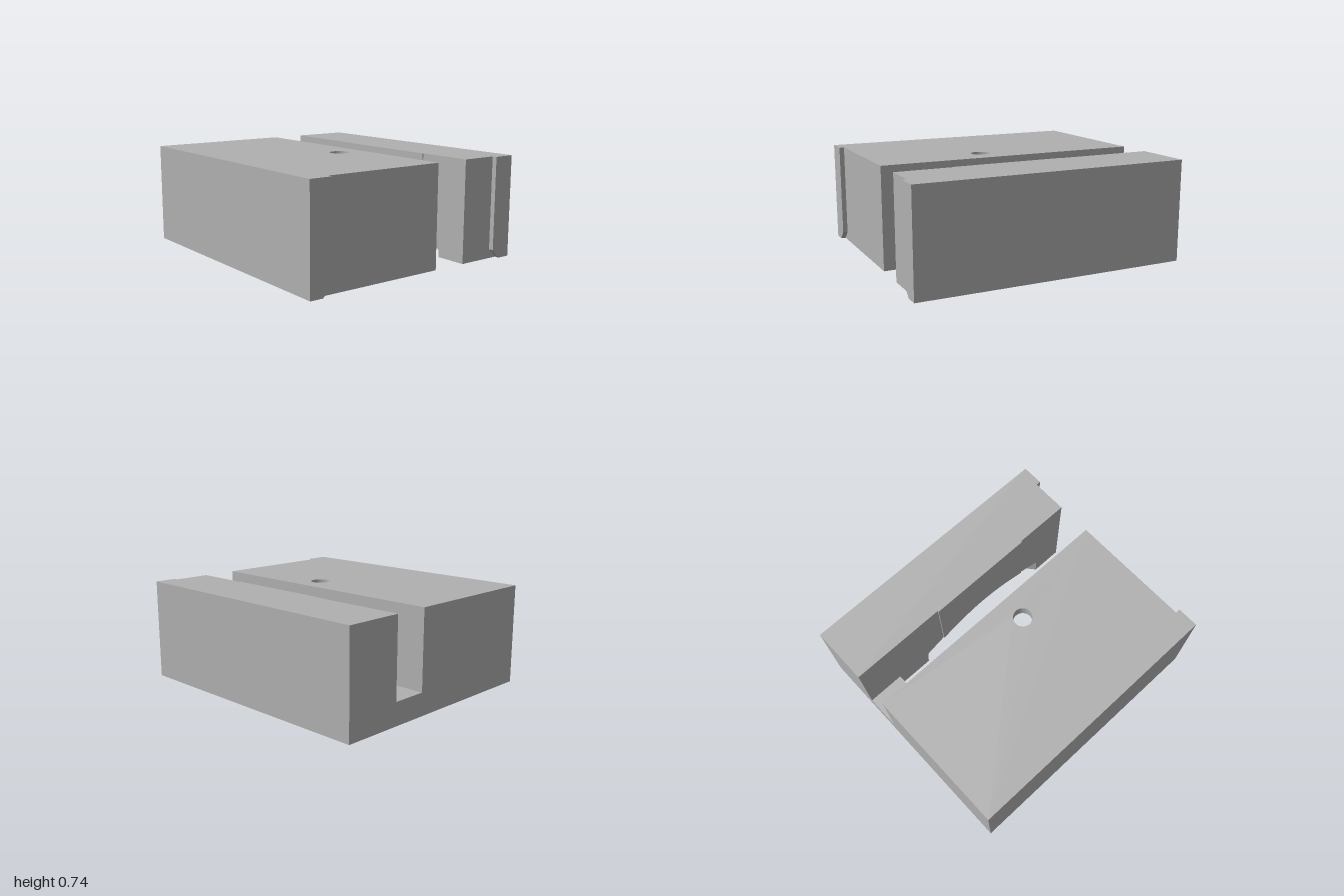
import * as THREE from 'three';

const H = 0.735, W = 0.88, FRONT = 0.965, BACK = -1;
const SL = 0.19, SR = 0.45;              // slot walls
const CZ = 0.14;                         // cavity axis
const R0 = 0.742, Y0 = 0.135, R1 = 0.4, Y1 = 0.317;
const coneY = r => Y0 + (R0 - r) / (R0 - R1) * (Y1 - Y0);
const coneR = y => R0 - (y - Y0) / (Y1 - Y0) * (R0 - R1);
// Radial channel leading off the cavity
const CH = { dir: 4.332, w: 0.105, len: 0.98, top: 0.3 };

export function createModel() {
  const group = new THREE.Group();
  const grey = new THREE.MeshStandardMaterial({ color: 0xb0b0b0, side: THREE.DoubleSide });
  grey.name = 'grey';

  const add = (name, geo, parent = group) => {
    const mesh = new THREE.Mesh(geo, grey);
    mesh.name = name;
    parent.add(mesh);
    return mesh;
  };
  const shapeOf = pts => new THREE.Shape(pts.map(p => new THREE.Vector2(p[0], p[1])));
  const rect = (a, b, c, d) => shapeOf([[a, c], [b, c], [b, d], [a, d]]);
  const hole = (s, x, z, r) => {
    s.holes.push(new THREE.Path().absarc(x, z, r, 0, Math.PI * 2, true));
    return s;
  };
  // Flat faces: level in (x, z), upright in (x, y), side in (z, y)
  const level = (name, shape, y, up, parent) => {
    const g = new THREE.ShapeGeometry(shape, 24).rotateX(Math.PI / 2);
    if (up) flip(g);
    g.translate(0, y, 0);
    return add(name, g, parent);
  };
  const upright = (name, shape, z, back) => {
    const g = new THREE.ShapeGeometry(shape);
    if (back) flip(g);
    return add(name, g.translate(0, 0, z));
  };
  const sideFace = (name, shape, x, plusX) => {
    const g = new THREE.ShapeGeometry(shape).rotateY(-Math.PI / 2);
    if (plusX) flip(g);
    return add(name, g.translate(x, 0, 0));
  };
  // Reverse a flat face
  function flip(g) {
    const ix = g.index.array;
    for (let i = 0; i < ix.length; i += 3) [ix[i], ix[i + 1]] = [ix[i + 1], ix[i]];
    g.computeVertexNormals();
  }

  // Surface of revolution between two rings, limited to an angle range per radius
  const sweep = (name, [ra, ya], [rb, yb], range, rows = 16, cols = 56) => {
    const pos = [], idx = [];
    for (let i = 0; i <= rows; i++) {
      const t = i / rows, r = ra + (rb - ra) * t, y = ya + (yb - ya) * t;
      const [a, b] = range(r);
      for (let j = 0; j <= cols; j++) {
        const q = a + (b - a) * j / cols;
        pos.push(r * Math.cos(q), y, CZ + r * Math.sin(q));
        if (i < rows && j < cols) {
          const k = i * (cols + 1) + j, n = k + cols + 1;
          idx.push(k, k + 1, n, k + 1, n + 1, n);
        }
      }
    }
    const g = new THREE.BufferGeometry();
    g.setAttribute('position', new THREE.Float32BufferAttribute(pos, 3));
    g.setIndex(idx);
    g.computeVertexNormals();
    add(name, g);
  };
  const cut = (r, x) => Math.acos(Math.min(1, x / r));
  const gap = r => Math.asin(CH.w / r);
  const leftRange = r => [cut(r, SL), 2 * Math.PI - cut(r, SL)];
  const beforeChannel = r => [cut(r, SL), CH.dir - gap(r)];
  const afterChannel = r => [CH.dir + gap(r), 2 * Math.PI - cut(r, SL)];
  const rightRange = r => [-cut(r, SR), cut(r, SR)];

  // Stepped cavity and bore
  const profile = [[R0, 0], [R0, Y0], [coneR(CH.top), CH.top], [R1, Y1],
    [R1, 0.45], [0.3, 0.45], [0.3, 0.645], [0.07, 0.645], [0.07, H]];
  for (let i = 0; i < profile.length - 1; i++) {
    const ranges = i < 2 ? [beforeChannel, afterChannel] : [leftRange];
    for (const range of ranges) sweep('cavityWall', profile[i], profile[i + 1], range);
  }
  sweep('cavityWallRight', [R0, 0], [R0, Y0], rightRange);
  sweep('cavityConeRight', [R0, Y0], [SR, coneY(SR)], rightRange);

  // Slot walls, notched where the cavity breaks through
  const slotWall = (x, rings) => {
    const half = [];
    for (let i = 0; i < rings.length - 1; i++) {
      const [ra, ya] = rings[i], [rb, yb] = rings[i + 1];
      const n = ra !== rb && ya !== yb ? 12 : 1;
      for (let k = 0; k < n; k++) half.push([ra + (rb - ra) * k / n, ya + (yb - ya) * k / n]);
    }
    half.push(rings[rings.length - 1]);
    const edge = half.map(([r, y]) => [Math.sqrt(Math.max(0, r * r - x * x)), y]);
    return shapeOf([[BACK, 0], ...edge.map(([h, y]) => [CZ - h, y]),
      ...edge.slice().reverse().filter(([h]) => h > 1e-4).map(([h, y]) => [CZ + h, y]),
      [FRONT, 0], [FRONT, H], [BACK, H]]);
  };
  sideFace('slotWallLeft', slotWall(SL, profile.slice(0, 7)), SL, true);
  sideFace('slotWallRight', slotWall(SR, [[R0, 0], [R0, Y0], [SR, coneY(SR)]]), SR, false);

  // Slightly raised pad on the slot wall, trimmed by the cone
  const padEdge = [];
  for (let i = 0; i <= 20; i++) {
    const t = -0.41 + 0.82 * i / 20;
    padEdge.push([CZ + t, coneY(Math.hypot(t, 0.44))]);
  }
  const pad = new THREE.ExtrudeGeometry(shapeOf([...padEdge, [CZ + 0.41, H], [CZ - 0.41, H]]),
    { depth: 0.009, bevelEnabled: false });
  add('slotPad', pad.rotateY(-Math.PI / 2).translate(SR, 0, 0));

  // Outer shell
  level('topLeft', hole(rect(-W, SL, BACK, FRONT), 0, CZ, 0.07), H, true);
  level('topRight', rect(SR, W, BACK, FRONT), H, true);
  for (const [a, b] of [[-W, SL], [SR, W]]) {
    upright('frontFace', rect(a, b, 0, H), FRONT, false);
    upright('backFace', rect(a, b, 0, H), BACK, true);
  }
  for (const s of [-1, 1]) {
    sideFace('outerSide', rect(BACK, FRONT, 0, H), s * W, s > 0);
    // Front corner rib with a chamfered foot
    const rib = shapeOf([[s * W, 0], [s * 0.785, 0], [s * 0.72, 0.065], [s * 0.72, H], [s * W, H]]);
    const g = new THREE.ExtrudeGeometry(rib, { depth: 1 - FRONT, bevelEnabled: false });
    add('cornerRib', g.translate(0, 0, FRONT));
  }
  const bridge = new THREE.BoxGeometry(SR - SL, 0.165, 0.28);
  add('slotBridge', bridge.translate((SL + SR) / 2, 0.0825, -0.86));

  // Underside with the cavity and channel outlines
  const arc = (r, a, b, cx = 0, cz = CZ, n = 40) => Array.from({ length: n + 1 }, (_, i) => {
    const q = a + (b - a) * i / n;
    return [cx + r * Math.cos(q), cz + r * Math.sin(q)];
  });
  const [a0, a1] = afterChannel(R0), [b0, b1] = beforeChannel(R0);
  const ex = CH.len * Math.cos(CH.dir), ez = CZ + CH.len * Math.sin(CH.dir);
  const under = shapeOf([[-W, BACK], [SL, BACK], ...arc(R0, a1, a0),
    ...arc(CH.w, CH.dir + Math.PI / 2, CH.dir - Math.PI / 2, ex, ez, 20),
    ...arc(R0, b1, b0), [SL, FRONT], [-W, FRONT]]);
  level('undersideLeft', hole(under, -0.01, -0.715, 0.05), 0, false);
  const [c0, c1] = rightRange(R0);
  level('undersideRight', shapeOf([[SR, BACK], [W, BACK], [W, FRONT], [SR, FRONT],
    ...arc(R0, c1, c0)]), 0, false);

  // Small blind hole
  add('blindHole', new THREE.CylinderGeometry(0.05, 0.05, 0.1, 24, 1, true).translate(-0.01, 0.05, -0.715));
  add('blindHoleEnd', new THREE.CircleGeometry(0.05, 24).rotateX(Math.PI / 2).translate(-0.01, 0.1, -0.715));

  // Channel walls, round end and ceiling
  const channel = new THREE.Group();
  channel.name = 'channel';
  channel.position.z = CZ;
  channel.rotation.y = -CH.dir;
  group.add(channel);
  const along = r => Math.sqrt(r * r - CH.w * CH.w), rTop = coneR(CH.top);
  for (const s of [-1, 1]) {
    const side = shapeOf([[along(R0), 0], [CH.len, 0], [CH.len, CH.top], [along(rTop), CH.top], [along(R0), Y0]]);
    add('channelSide', new THREE.ShapeGeometry(side).translate(0, 0, s * CH.w), channel);
  }
  add('channelEnd', new THREE.CylinderGeometry(CH.w, CH.w, CH.top, 24, 1, true, 0, Math.PI)
    .translate(CH.len, CH.top / 2, 0), channel);
  level('channelCeiling', shapeOf([...arc(rTop, gap(rTop), -gap(rTop), 0, 0, 8),
    ...arc(CH.w, -Math.PI / 2, Math.PI / 2, CH.len, 0, 20)]), CH.top, false, channel);

  return group;
}
